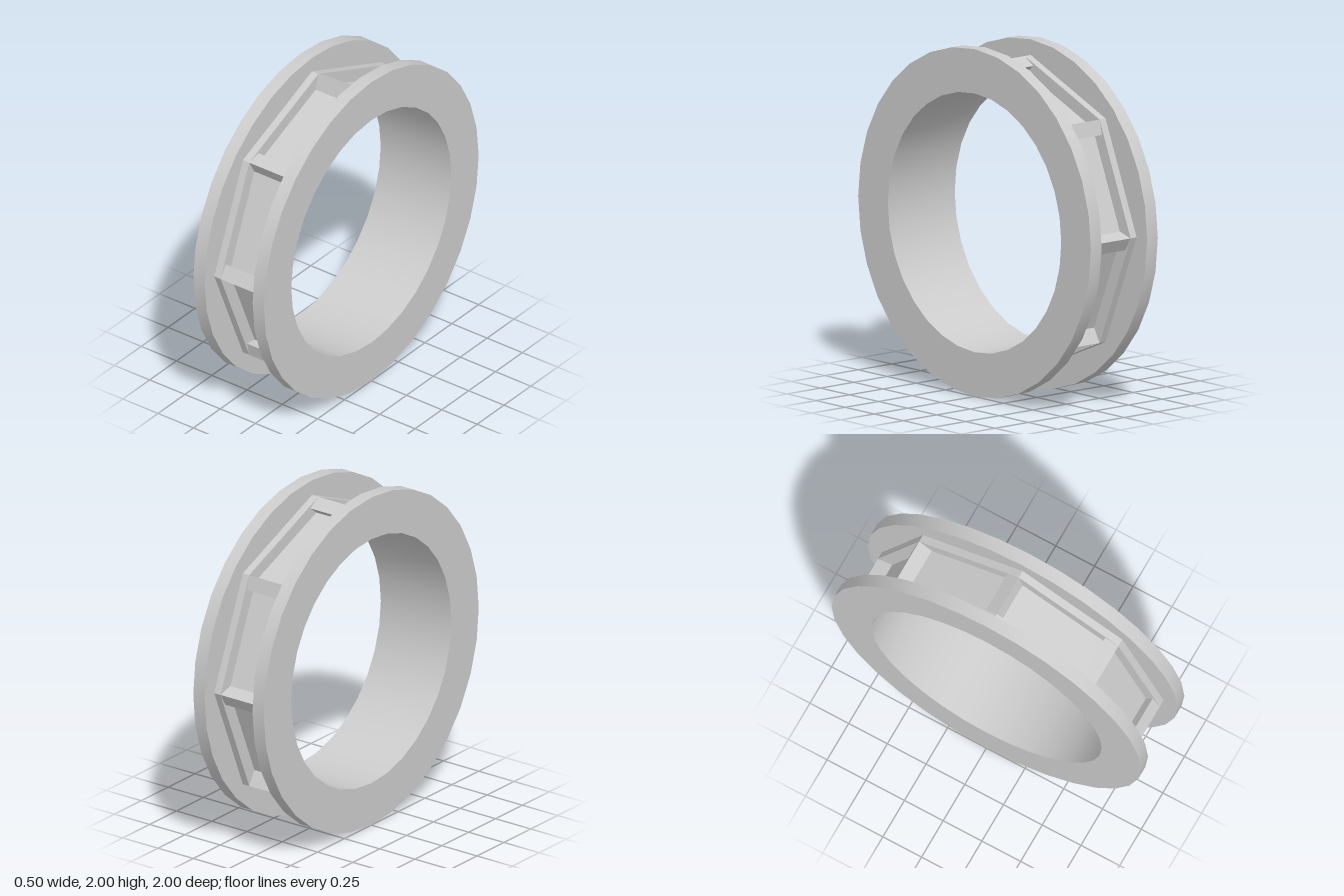
import * as THREE from 'three';
import { toCreasedNormals } from 'three/addons/utils/BufferGeometryUtils.js';

const CENTER_Y = 1;
const SIDES = 8;
const RIDGE = 0.91;    // corner radius of the octagonal rails
const FLOOR = 0.828;   // corner radius of the recessed floor
const BORE = 0.745;

const material = new THREE.MeshStandardMaterial({ color: 0xcccccc });

function add(parent, name, geometry) {
  const mesh = new THREE.Mesh(geometry, material);
  mesh.name = name;
  parent.add(mesh);
  return mesh;
}

// Extrude a (radial, tangential) outline along the wheel's axis, centred on x
function extrudeAcross(shape, width, x) {
  const geometry = new THREE.ExtrudeGeometry(shape, { depth: width, bevelEnabled: false });
  geometry.translate(0, 0, -width / 2);
  geometry.rotateY(-Math.PI / 2);
  geometry.translate(x, 0, 0);
  return geometry;
}

function polygon(radius, sides) {
  return Array.from({ length: sides }, (_, i) => {
    const a = (i / sides) * Math.PI * 2;
    return new THREE.Vector2(radius * Math.cos(a), radius * Math.sin(a));
  });
}

export function createModel() {
  const model = new THREE.Group();
  model.name = 'ring';
  const body = new THREE.Group();
  body.name = 'ringBody';
  body.position.y = CENTER_Y;
  model.add(body);

  // Spool: smooth bore with a tall flange on each side
  const profile = [
    [BORE, -0.25], [1, -0.25], [1, -0.17], [0.755, -0.17],
    [0.755, 0.17], [1, 0.17], [1, 0.25], [BORE, 0.25], [BORE, -0.25],
  ].map(([r, y]) => new THREE.Vector2(r, y));
  const spool = new THREE.LatheGeometry(profile, 32);
  spool.rotateZ(Math.PI / 2);
  add(body, 'flangedSpool', toCreasedNormals(spool, 0.6));

  // Recessed octagonal floor between the flanges
  const floor = new THREE.CylinderGeometry(FLOOR, FLOOR, 0.34, SIDES, 1, true);
  floor.rotateZ(Math.PI / 2);
  add(body, 'recessFloor', toCreasedNormals(floor, 0.3));

  // Octagonal rails against each flange
  const railShape = new THREE.Shape(polygon(RIDGE, SIDES));
  railShape.holes.push(new THREE.Path(polygon(0.82, SIDES)));
  for (const side of [-1, 1]) {
    add(body, side > 0 ? 'leftRail' : 'rightRail', extrudeAcross(railShape, 0.045, side * 0.1475));
  }

  // Slanted cross bars at the octagon corners
  const barShape = new THREE.Shape([
    [RIDGE, 0], [0.864, 0.075], [0.822, 0.02], [0.79, 0], [0.82, -0.025],
  ].map(([r, t]) => new THREE.Vector2(r, t)));
  const barGeometry = extrudeAcross(barShape, 0.25, 0);
  for (let i = 0; i < SIDES; i++) {
    add(body, 'crossBar', barGeometry).rotation.x = (-i * Math.PI * 2) / SIDES;
  }

  return model;
}
